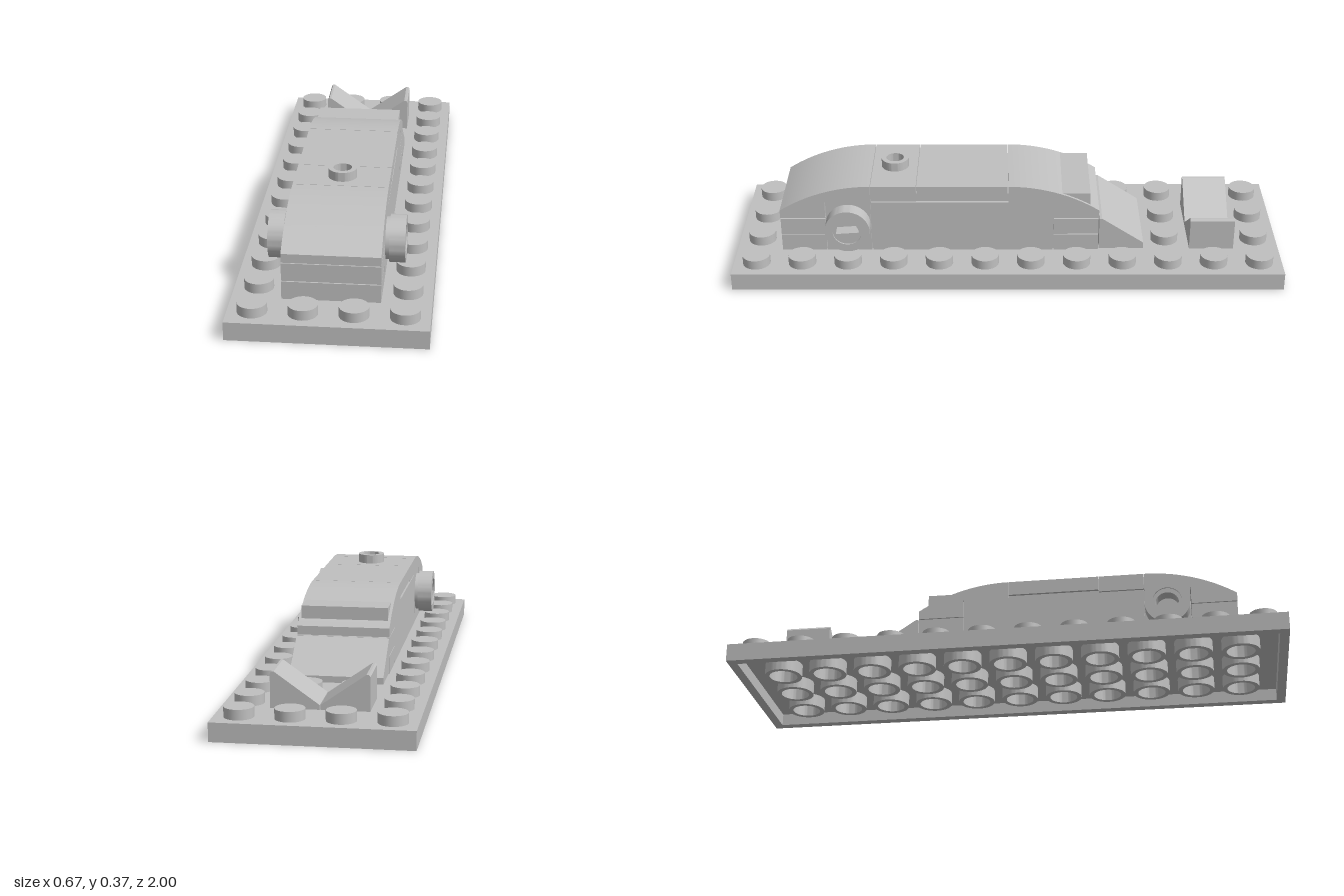
import * as THREE from 'three';
import { toCreasedNormals } from 'three/addons/utils/BufferGeometryUtils.js';

const grey = new THREE.MeshStandardMaterial({ color: 0xc0c0c0 });
grey.name = 'light grey';

const PITCH = 1 / 6;
const HALF = 0.165; // half width of the car body

export function createModel() {
  const model = new THREE.Group();

  const add = (name, geo, parent = model) => {
    const mesh = new THREE.Mesh(geo, grey);
    mesh.name = name;
    parent.add(mesh);
    return mesh;
  };
  const box = (name, x0, x1, y0, y1, z0, z1, parent) =>
    add(name, new THREE.BoxGeometry(x1 - x0, y1 - y0, z1 - z0), parent)
      .position.set((x0 + x1) / 2, (y0 + y1) / 2, (z0 + z1) / 2);
  const extrude = (shape, depth) =>
    new THREE.ExtrudeGeometry(shape, { depth, bevelEnabled: false, curveSegments: 32 });
  const ringShape = (outer, inner) => {
    const s = new THREE.Shape().absarc(0, 0, outer, 0, Math.PI * 2);
    s.holes.push(new THREE.Path().absarc(0, 0, inner, 0, Math.PI * 2, true));
    return s;
  };
  // Side profile in (z, y), swept across the car
  const sideways = (name, shape) => {
    const geo = extrude(shape, HALF * 2).translate(0, 0, -HALF).rotateY(-Math.PI / 2);
    return add(name, toCreasedNormals(geo, 0.5));
  };

  // Hollow base plate
  const plate = new THREE.Group();
  plate.name = 'basePlate';
  model.add(plate);
  const W = 0.333, T = 0.033;
  box('plateTop', -W, W, 0.045, 0.065, -1, 1, plate);
  for (const s of [-1, 1]) {
    box('plateSideWall', s * (W - T / 2) - T / 2, s * (W - T / 2) + T / 2, 0, 0.045, -1, 1, plate);
    box('plateEndWall', T - W, W - T, 0, 0.045, s * (1 - T / 2) - T / 2, s * (1 - T / 2) + T / 2, plate);
  }

  // Studs on top, left out under the car and tail
  const studGeo = new THREE.CylinderGeometry(0.05, 0.05, 0.035, 32);
  for (let row = 0; row < 12; row++) {
    for (let col = 0; col < 4; col++) {
      const inner = col === 1 || col === 2;
      if (inner && ![0, 2, 11].includes(row)) continue;
      add('plateStud', studGeo, plate)
        .position.set((col - 1.5) * PITCH, 0.0825, (row - 5.5) * PITCH);
    }
  }

  // Tubes underneath
  const tubeGeo = toCreasedNormals(extrude(ringShape(0.068, 0.051), 0.045).rotateX(-Math.PI / 2), 0.5);
  for (let row = -5; row <= 5; row++)
    for (let col = -1; col <= 1; col++)
      add('plateTube', tubeGeo, plate).position.set(col * PITCH, 0, row * PITCH);

  // Lower body bricks with fine joints, closed by a hidden core
  box('bodyCore', -0.155, 0.155, 0.068, 0.3, -0.3, 0.64);
  box('lampBrick', -HALF, HALF, 0.068, 0.268, 0.502, 0.665);
  box('middleBrick', -HALF, HALF, 0.068, 0.268, -0.165, 0.498);
  for (const [name, z0, z1] of [['frontBumper', 0.668, 0.832], ['rearBumper', -0.332, -0.168]]) {
    box(name + 'Lower', -HALF, HALF, 0.068, 0.132, z0, z1);
    box(name + 'Upper', -HALF, HALF, 0.135, 0.199, z0, z1);
  }

  // Roof: studded plate and smooth tile
  box('roofPlate', -HALF, HALF, 0.272, 0.333, 0.334, 0.499);
  box('roofTile', -HALF, HALF, 0.28, 0.333, 0.001, 0.332);

  // Curved hood and tail: circular arc from the flat roof down to the bumper
  const curvedSlope = (name, zTop, dir) => {
    const R = 0.605, at = d => zTop + dir * d;
    const s = new THREE.Shape();
    s.moveTo(at(0), 0.268);
    s.lineTo(at(0.167), 0.268);
    s.lineTo(at(0.167), 0.202);
    s.lineTo(at(0.332), 0.202);
    for (let i = 16; i >= 0; i--) {
      const d = 0.332 * i / 16;
      s.lineTo(at(d), 0.333 - R + Math.sqrt(R * R - d * d));
    }
    sideways(name, s);
  };
  curvedSlope('curvedHood', 0.501, 1);
  curvedSlope('curvedTail', -0.001, -1);

  // Sloped rear wedge
  sideways('rearWedge', new THREE.Shape([[-0.335, 0.074], [-0.335, 0.199], [-0.345, 0.199],
    [-0.499, 0.097], [-0.499, 0.074]].map(p => new THREE.Vector2(...p))));

  // Hollow roof stud
  const roofStud = extrude(ringShape(0.05, 0.032), 0.033).rotateX(-Math.PI / 2);
  add('roofStud', toCreasedNormals(roofStud, 0.5)).position.set(0, 0.333, 0.417);

  // Round lamps: collar, rim and a face with a half-round pocket
  const face = new THREE.Shape().absarc(0, 0, 0.054, 0, Math.PI * 2);
  const pocket = new THREE.Path();
  pocket.moveTo(0.042, -0.012);
  pocket.absarc(0, -0.006, 0.042, 0, Math.PI);
  pocket.lineTo(-0.042, -0.012);
  face.holes.push(pocket);
  for (const side of [-1, 1]) {
    const lamp = new THREE.Group();
    lamp.name = side > 0 ? 'leftLamp' : 'rightLamp';
    lamp.position.set(side * 0.165, 0.184, 0.583);
    lamp.rotation.y = side * Math.PI / 2;
    model.add(lamp);
    add('lampCollar', new THREE.CylinderGeometry(0.073, 0.073, 0.014, 32).rotateX(Math.PI / 2), lamp)
      .position.z = 0.007;
    add('lampRim', toCreasedNormals(extrude(ringShape(0.082, 0.053), 0.055), 0.5), lamp).position.z = 0.013;
    add('lampFace', toCreasedNormals(extrude(face, 0.05), 0.5), lamp).position.z = 0.013;
  }

  // Pair of wedges forming a V behind the car
  for (const side of [-1, 1]) {
    const pts = [[0.001, 0.072], [HALF, 0.072], [HALF, 0.188], [0.160, 0.195], [0.152, 0.195], [0.001, 0.088]];
    const outline = pts.map(([x, y]) => new THREE.Vector2(side * x, y));
    const geo = extrude(new THREE.Shape(outline), 0.163);
    add(side > 0 ? 'leftFin' : 'rightFin', geo).position.z = -0.832;
  }

  return model;
}
